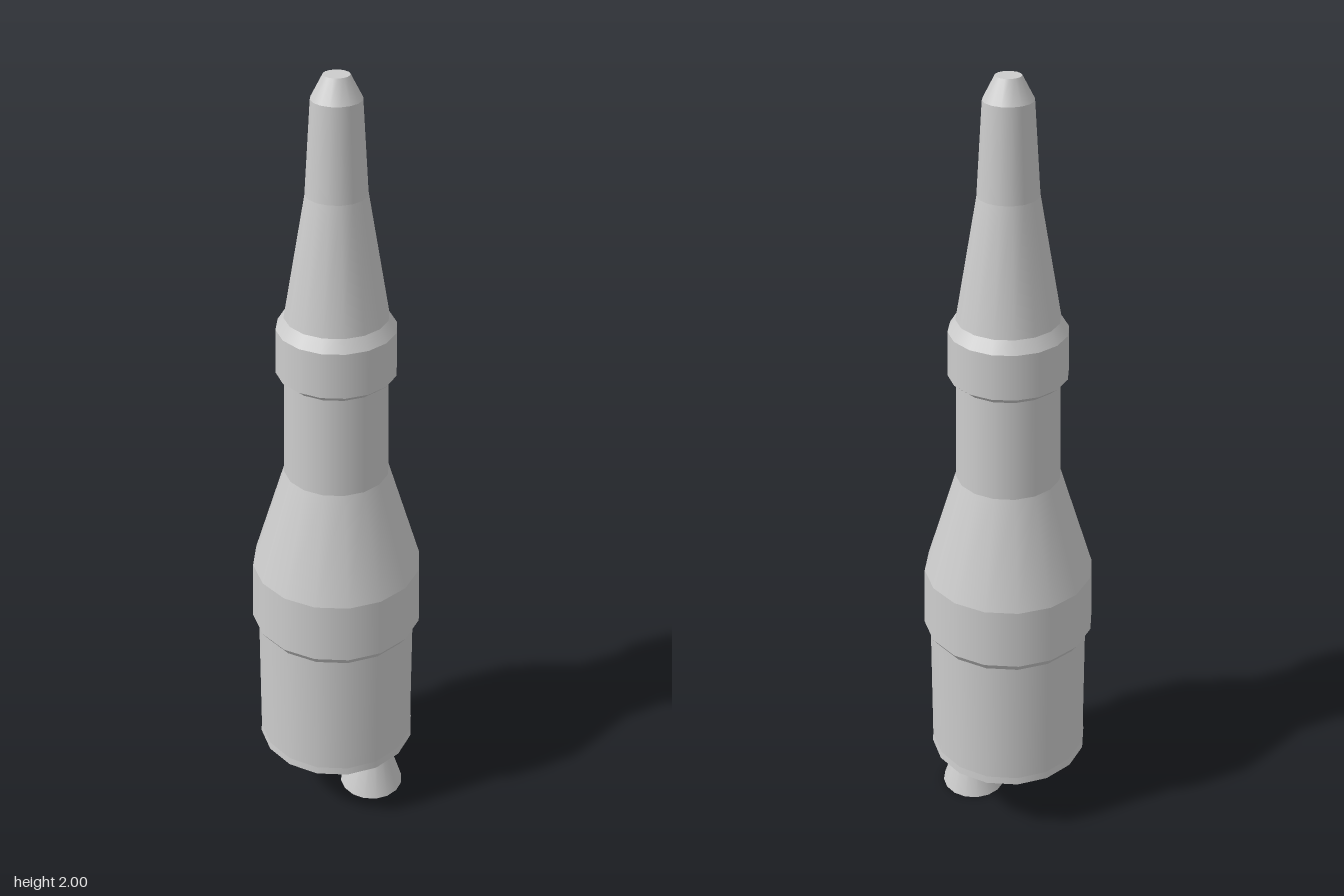
import * as THREE from 'three';

const material = new THREE.MeshStandardMaterial({ color: 0xcccccc });

// Stack of smooth-sided frustums with crisp edges between them.
// profile: [radius, y] pairs from bottom to top; names: one per section
function stack(name, profile, names, sides) {
  const group = new THREE.Group();
  group.name = name;
  names.forEach((part, i) => {
    const [r0, y0] = profile[i];
    const [r1, y1] = profile[i + 1];
    const geometry = new THREE.CylinderGeometry(r1, r0, y1 - y0, sides, 1, true);
    const mesh = new THREE.Mesh(geometry, material);
    mesh.name = part;
    mesh.position.y = (y0 + y1) / 2;
    group.add(mesh);
  });
  // Flat discs closing both ends
  const ends = [['bottomCap', profile[0], 1], ['topCap', profile[profile.length - 1], -1]];
  for (const [part, [r, y], dir] of ends) {
    const cap = new THREE.Mesh(new THREE.CircleGeometry(r, sides), material);
    cap.name = part;
    cap.rotation.x = dir * Math.PI / 2;
    cap.position.y = y;
    group.add(cap);
  }
  return group;
}

export function createModel() {
  const model = new THREE.Group();
  model.name = 'rocketStage';

  // Main body, from the lower tank up to the blunt nose
  model.add(stack('body', [
    [0.207, 0.18], [0.205, 0.2], [0.203, 0.555], [0.219, 0.577], [0.214, 0.735],
    [0.13, 1.01], [0.125, 1.27], [0.145, 1.287], [0.143, 1.4],
    [0.124, 1.43], [0.072, 1.73], [0.058, 1.947], [0.03, 2],
  ], [
    'baseLip', 'lowerTank', 'skirtFlare', 'skirt', 'shoulderCone',
    'upperTank', 'collarFlare', 'collar', 'collarBevel',
    'noseCone', 'noseTube', 'noseTip',
  ], 16));

  // Single engine, offset to the left
  const engine = stack('engine', [[0.085, 0], [0.038, 0.15], [0.055, 0.18]],
    ['nozzleBell', 'engineMount'], 16);
  engine.position.x = 0.1;
  model.add(engine);

  return model;
}
